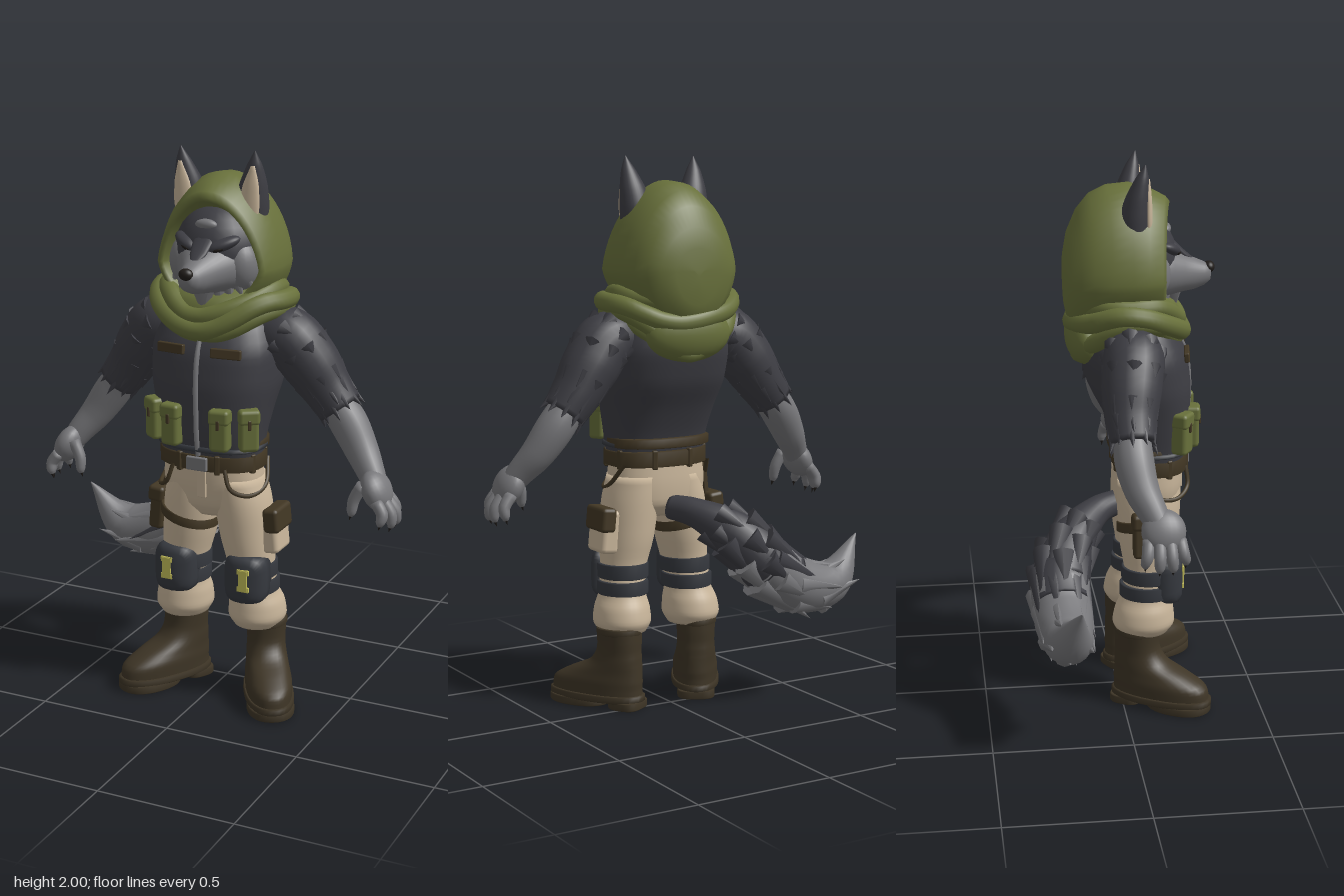
import * as THREE from 'three';
import { RoundedBoxGeometry } from 'three/addons/geometries/RoundedBoxGeometry.js';

const V = (x = 0, y = 0, z = 0) => new THREE.Vector3(x, y, z);
const { cos, sin, PI, sign, abs, max, min } = Math;
const curve = (pts, closed) => new THREE.CatmullRomCurve3(pts, closed);
const mat = (name, color) => Object.assign(new THREE.MeshStandardMaterial({ color }), { name });

export function createModel() {
  const olive = mat('olive cloth', 0x68703b), charcoal = mat('charcoal', 0x3d3d43), grey = mat('grey fur', 0x77777a);
  const beige = mat('beige cloth', 0xc8b59a), boot = mat('boot leather', 0x3e3526), brown = mat('brown strap', 0x423724);
  const navy = mat('navy pad', 0x36393f), yellow = mat('yellow mark', 0xc8c25c), black = mat('black', 0x211d1a);
  const root = new THREE.Group();
  let g = root;
  const add = (geo, m, name, pos = [0, 0, 0], rot = [0, 0, 0], scale = [1, 1, 1]) => {
    const o = new THREE.Mesh(geo, m);
    o.name = name;
    o.position.set(...pos); o.rotation.set(...rot); o.scale.set(...scale);
    g.add(o);
    return o;
  };
  const part = (name, fn) => {
    g = new THREE.Group(); g.name = name;
    root.add(g);
    fn(g);
  };
  const ball = (m, name, pos, r, rot) => add(new THREE.SphereGeometry(1, 24, 16), m, name, pos, rot, r);
  const box = (m, name, size, pos, rot) => add(new RoundedBoxGeometry(...size, 2, min(...size) * 0.25), m, name, pos, rot);

  // Skin a closed solid over loops of points, turned outward by its signed volume
  const loft = (loops, m, name) => {
    const n = loops[0].length, L = loops.length, e = (L - 1) * n, idx = [], pts = loops.flat();
    const mid = l => l.reduce((a, p) => a.add(p), V()).divideScalar(n);
    pts.push(mid(loops[0]), mid(loops[L - 1]));
    for (let i = 0; i < n; i++) {
      const j = (i + 1) % n;
      for (let k = 0; k < e; k += n) idx.push(k + i, k + j, k + i + n, k + j, k + j + n, k + i + n);
      idx.push(L * n, j, i, L * n + 1, e + i, e + j);
    }
    let vol = 0;
    for (let i = 0; i < idx.length; i += 3) vol += pts[idx[i]].dot(V().crossVectors(pts[idx[i + 1]], pts[idx[i + 2]]));
    if (vol < 0) idx.reverse();
    const geo = new THREE.BufferGeometry().setFromPoints(pts);
    geo.setIndex(idx);
    geo.computeVertexNormals();
    return add(geo, m, name);
  };
  const loop = (fn, n = 32) => Array.from({ length: n }, (_, i) => fn(i / n * PI * 2));
  const sp = (v, p) => sign(v) * abs(v) ** (2 / p);
  // Horizontal rings [y, cx, cz, rx, rz], eased between the given rows
  const rings = (rows, m, name, p = 2, tilt = 0, steps = 4) => {
    const c1 = curve(rows.map(r => V(r[1], r[0], r[2]))), c2 = curve(rows.map(r => V(r[3], r[4])));
    const N = (rows.length - 1) * steps;
    return loft(Array.from({ length: N + 1 }, (_, k) => {
      const a = c1.getPoint(k / N), b = c2.getPoint(k / N);
      return loop(t => V(a.x + b.x * sp(cos(t), p), a.y + tilt * b.x * cos(t), a.z + b.y * sp(sin(t), p)));
    }), m, name);
  };
  const band = (y0, y1, cx, cz, rx, rz, m, name, p, tilt) =>
    rings([[y0, 0.95], [y0 + 0.004, 1], [y1 - 0.004, 1], [y1, 0.95]].map(([y, k]) => [y, cx, cz, rx * k, rz * k]), m, name, p, tilt, 1);
  // Round limb along a path of [x, y, z, radius]
  const Z = V(0, 0, 1), TAIL = V(-0.5, 0.3, 0.8);
  const path = (rows, ref = Z) => {
    const c = curve(rows.map(r => V(r[0], r[1], r[2]))), w = curve(rows.map(r => V(r[3])));
    return t => {
      const d = c.getTangent(t), b = V().crossVectors(d, ref).normalize(), n = V().crossVectors(b, d);
      return { p: c.getPoint(t), d, r: max(0.001, w.getPoint(t).x), out: a => b.clone().multiplyScalar(cos(a)).addScaledVector(n, sin(a)) };
    };
  };
  const sweep = (at, m, name, t0 = 0, t1 = 1, seg = 24) => loft(Array.from({ length: seg + 1 }, (_, k) => {
    const f = at(t0 + (t1 - t0) * k / seg);
    return loop(a => f.p.clone().addScaledVector(f.out(a), f.r), 20);
  }), m, name);
  // Fur tufts: single locks, and rings of locks around a limb
  const tuft = (m, p, d, len, r) => add(new THREE.ConeGeometry(r, len, 8), m, 'furTuft', p.toArray())
    .quaternion.setFromUnitVectors(V(0, 1, 0), d.clone().normalize());
  const furRing = (at, t, n, len, flare, wide, top, under = top) => {
    const f = at(t);
    for (let i = 0; i < n; i++) {
      const out = f.out((i + t * 7) / n * PI * 2);
      tuft(out.y > -0.1 ? top : under, f.p.clone().addScaledVector(out, f.r * (1 - wide * 0.42)), f.d.clone().addScaledVector(out, flare), len * (1 + 0.25 * sin(i * 2.4)), f.r * wide);
    }
  };

  part('head', () => {
    ball(charcoal, 'skull', [0, 1.645, 0.055], [0.16, 0.175, 0.155]);
    const snout = [[0.1, 1.605, 0.145, 0.11], [0.15, 1.603, 0.128, 0.1], [0.19, 1.6, 0.102, 0.085], [0.23, 1.593, 0.075, 0.07], [0.27, 1.586, 0.053, 0.057], [0.305, 1.585, 0.041, 0.043], [0.328, 1.588, 0.027, 0.028]];
    loft(snout.map(([z, y, rx, ry]) => loop(a => V(rx * cos(a), y + ry * sin(a), z))), grey, 'muzzle');
    // dark strip down the bridge
    loft([[0.16, 1.745, 0.03], [0.2, 1.69, 0.038], [0.235, 1.658, 0.03], [0.268, 1.637, 0.013]]
      .map(([z, y, r]) => loop(a => V(r * cos(a), y + r * 0.45 * sin(a), z), 16)), charcoal, 'bridge');
    ball(black, 'nose', [0, 1.608, 0.325], [0.026, 0.021, 0.02]);
    ball(grey, 'foreheadPatch', [0, 1.75, 0.166], [0.042, 0.02, 0.022], [-0.6, 0, 0]);
    ball(black, 'mouth', [0, 1.558, 0.288], [0.036, 0.004, 0.028]);
    for (const s of [-1, 1]) {
      ball(grey, 'cheek', [s * 0.095, 1.61, 0.1], [0.07, 0.095, 0.075], [0, s * 0.5, 0]);
      ball(charcoal, 'eyeMask', [s * 0.07, 1.69, 0.175], [0.06, 0.022, 0.033], [0, s * 0.55, s * 0.35]);
      ball(black, 'eye', [s * 0.064, 1.677, 0.2], [0.024, 0.009, 0.013], [0, s * 0.5, s * 0.3]);
      for (let i = 0; i < 4; i++)
        tuft(grey, V(s * (0.135 - i * 0.03), 1.565 - i * 0.022, 0.12 + i * 0.013), V(s * (0.5 - i * 0.1), -1, 0.1), 0.1, 0.036);
      rings([[1.72, s * 0.113, 0.045, 0.058, 0.052], [1.8, s * 0.116, 0.045, 0.06, 0.055], [1.88, s * 0.124, 0.053, 0.05, 0.043], [1.95, s * 0.135, 0.067, 0.027, 0.024], [2, s * 0.141, 0.078, 0.002, 0.002]], charcoal, 'ear');
      rings([[1.76, s * 0.121, 0.088, 0.034, 0.016], [1.81, s * 0.124, 0.088, 0.038, 0.017], [1.88, s * 0.13, 0.088, 0.03, 0.014], [1.95, s * 0.138, 0.087, 0.008, 0.007]], beige, 'innerEar');
    }
    tuft(grey, V(0, 1.5, 0.19), V(0, -1, 0.1), 0.13, 0.06);
  });

  part('hood', () => {
    // [z, half width, top, bottom, pointedness]; the sides of the opening sit further back
    const rows = [[0.07, 0.165, 1.78, 1.48, 0.2], [0.13, 0.174, 1.81, 1.47, 0.2], [0.172, 0.184, 1.83, 1.455, 0.2], [0.183, 0.194, 1.845, 1.445, 0.2], [0.167, 0.207, 1.865, 1.43, 0.17], [0.11, 0.222, 1.895, 1.42, 0.12], [0.04, 0.228, 1.915, 1.41, 0.1], [-0.04, 0.224, 1.908, 1.4, 0.1], [-0.1, 0.208, 1.88, 1.4, 0.1], [-0.145, 0.183, 1.825, 1.4, 0.1], [-0.177, 0.145, 1.75, 1.42, 0.1], [-0.19, 0.09, 1.68, 1.48, 0], [-0.195, 0.02, 1.6, 1.54, 0]];
    loft(rows.map(([z, w, top, bot, k]) => loop(a => {
      const c = cos(a);
      return V(w * sin(a) * (1 - k * abs(c)), 1.6 + c * (c > 0 ? top - 1.6 : 1.6 - bot), z - max(0, z) * 0.2 * abs(sin(a)));
    }, 48)), olive, 'hoodShell');
    // scarf folds, hanging in a V at the front and drooping behind: [rx, rz, y, front drop, back drop, radius, phase]
    for (const [rx, rz, y, df, db, r, ph] of [[0.2, 0.165, 1.515, 0.08, 0.03, 0.034, 0], [0.238, 0.18, 1.49, 0.1, 0.07, 0.036, 0.12], [0.228, 0.172, 1.46, 0.075, 0.12, 0.032, -0.1], [0.2, 0.16, 1.45, 0.085, 0.14, 0.03, 0.05]]) {
      const pts = loop(a => {
        const c = cos(a + ph);
        return V(rx * sin(a), y - (c > 0 ? df * c ** 3 : db * c * c) + 0.005 * sin(a * 5 + ph * 30), 0.02 + (c > 0 ? rz + 0.025 : rz) * cos(a));
      }, 24);
      add(new THREE.TubeGeometry(curve(pts, true), 72, r, 12, true), olive, 'scarfFold');
    }
    rings([[1.39, 0, 0.035, 0.17, 0.165], [1.45, 0, 0.03, 0.23, 0.19], [1.5, 0, 0.025, 0.21, 0.17], [1.54, 0, 0, 0.17, 0.12]], olive, 'scarfBase');
    ball(olive, 'backDrape', [0, 1.375, -0.12], [0.17, 0.1, 0.07]);
  });

  part('vest', () => {
    const rows = [[0.92, 0.185, 0.235, 0], [1, 0.195, 0.25, -0.02], [1.1, 0.213, 0.256, -0.06], [1.2, 0.234, 0.258, -0.11], [1.3, 0.238, 0.245, -0.135], [1.4, 0.205, 0.2, -0.125], [1.46, 0.14, 0.14, -0.08]];
    rings(rows.map(([y, rx, f, b]) => [y, 0, (f + b) / 2, rx, (f - b) / 2]), charcoal, 'torso', 2.5);
    band(0.955, 0.975, 0, 0.115, 0.199, 0.138, navy, 'vestHem', 2.5);
    add(new THREE.TubeGeometry(curve(rows.slice(0, 6).map(r => V(0, r[0], r[2]))), 24, 0.01, 6), grey, 'zip');
    for (const s of [-1, 1]) {
      box(brown, 'chestTab', [0.11, 0.035, 0.018], [s * 0.105, 1.32, 0.234], [-0.12, s * 0.16, 0]);
      for (const [x, z, ry] of [[0.093, 0.252, 0.12], [0.18, 0.208, 0.6]]) {
        box(olive, 'pouch', [0.07, 0.14, 0.06], [s * x, 1.045, z], [0, s * ry, 0]);
        box(olive, 'pouchFlap', [0.076, 0.055, 0.068], [s * x, 1.1, z], [0, s * ry, 0]);
        box(brown, 'pouchTab', [0.012, 0.035, 0.07], [s * x, 1.075, z + 0.002], [0, s * ry, 0]);
      }
    }
  });

  part('belt', () => {
    band(0.885, 0.943, 0, 0.113, 0.195, 0.135, brown, 'beltStrap', 2.4);
    band(0.955, 0.992, 0, 0.095, 0.196, 0.132, brown, 'backStrap', 2.4);
    box(grey, 'buckle', [0.08, 0.05, 0.02], [0, 0.914, 0.248]);
    for (const a of loop(t => t + PI / 8, 8))
      box(brown, 'beltLoop', [0.02, 0.07, 0.02], [0.19 * sin(a), 0.913, 0.113 + 0.134 * cos(a)], [0, a, 0]);
    for (const s of [-1, 1]) {
      const cord = [V(s * 0.1, 0.9, 0.235), V(s * 0.125, 0.83, 0.238), V(s * 0.175, 0.8, 0.19), V(s * 0.198, 0.82, 0.1), V(s * 0.175, 0.9, 0.03)];
      add(new THREE.TubeGeometry(curve(cord), 32, 0.008, 8), brown, 'hipCord');
    }
  });

  part('trousers', () => {
    rings([[0.7, 0, 0.1, 0.1, 0.08], [0.75, 0, 0.1, 0.17, 0.115], [0.83, 0, 0.107, 0.186, 0.125], [0.9, 0, 0.112, 0.18, 0.125]], beige, 'hips', 2.3);
    box(beige, 'fly', [0.035, 0.1, 0.012], [0.01, 0.835, 0.232]);
    for (const s of [-1, 1]) {
      const X = x => s * x + 0.014;
      rings([[0.85, X(0.085), 0.105, 0.09, 0.115], [0.75, X(0.1), 0.103, 0.102, 0.115], [0.62, X(0.115), 0.1, 0.098, 0.105], [0.5, X(0.133), 0.1, 0.085, 0.09], [0.42, X(0.14), 0.09, 0.085, 0.093], [0.37, X(0.145), 0.083, 0.1, 0.107], [0.32, X(0.147), 0.08, 0.105, 0.114], [0.28, X(0.147), 0.078, 0.086, 0.092]], beige, 'leg');
      band(0.415, 0.467, X(0.137), 0.093, 0.093, 0.1, navy, 'kneeStrap');
      band(0.475, 0.53, X(0.132), 0.1, 0.094, 0.1, navy, 'kneeStrap');
      // domed knee pad
      loft([[0.15, 1], [0.19, 1], [0.212, 0.93], [0.222, 0.7], [0.225, 0.3]].map(([z, k]) => loop(a => {
        const x = 0.081 * k * sp(cos(a), 4);
        return V(X(0.14) + x, 0.48 + 0.09 * k * sp(sin(a), 4), z - x * x * 4);
      })), navy, 'kneePad');
      box(yellow, 'padMark', [0.034, 0.08, 0.008], [X(0.152), 0.487, 0.223]);
      for (const y of [0.455, 0.52]) box(yellow, 'padMark', [0.046, 0.02, 0.008], [X(0.152), y, 0.222]);
    }
    // thigh gear
    band(0.655, 0.695, -0.1, 0.1, 0.106, 0.116, brown, 'thighStrap', 2, -0.25);
    box(brown, 'holster', [0.055, 0.15, 0.12], [-0.218, 0.675, 0.09], [0, 0, -0.1]);
    box(brown, 'holsterFlap', [0.064, 0.06, 0.13], [-0.218, 0.735, 0.09], [0, 0, -0.1]);
    box(brown, 'holsterHanger', [0.02, 0.16, 0.04], [-0.193, 0.82, 0.09], [0, 0, -0.1]);
    box(beige, 'cargoPocket', [0.07, 0.16, 0.12], [0.228, 0.655, 0.09], [0, 0, 0.1]);
    box(brown, 'sidePouch', [0.06, 0.09, 0.135], [0.24, 0.7, 0.09], [0, 0, 0.1]);
  });

  for (const s of [-1, 1]) part(s > 0 ? 'leftBoot' : 'rightBoot', b => {
    b.position.set(s * 0.162 + 0.021, 0, 0.053);
    b.rotation.y = s * 0.52;
    rings([[0.04, 0, 0.1, 0.083, 0.185], [0.09, 0, 0.095, 0.084, 0.18], [0.13, 0, 0.062, 0.078, 0.145], [0.17, 0, 0.02, 0.073, 0.1], [0.22, 0, 0.005, 0.07, 0.082], [0.3, 0, 0.005, 0.074, 0.082]], boot, 'bootUpper', 2.3);
    band(0.025, 0.052, 0, 0.1, 0.09, 0.193, boot, 'welt', 2.3);
    band(0, 0.03, 0, 0.17, 0.086, 0.12, boot, 'sole', 2.3);
    band(0, 0.03, 0, -0.03, 0.07, 0.062, boot, 'heel', 3);
    band(0.275, 0.3, 0, 0.005, 0.077, 0.086, boot, 'bootCuff');
  });

  for (const s of [-1, 1]) part(s > 0 ? 'leftArm' : 'rightArm', () => {
    const P = rows => path(rows.map(([x, y, z, r]) => [s * x, y, z, r]));
    const upper = P([[0.17, 1.36, 0.03, 0.09], [0.255, 1.345, 0.025, 0.108], [0.325, 1.265, 0.01, 0.105], [0.383, 1.18, 0, 0.091], [0.44, 1.105, 0, 0.08]]);
    sweep(upper, charcoal, 'upperArm');
    for (const [t, n, l] of [[0.25, 8, 0.055], [0.42, 8, 0.05], [0.7, 9, 0.055], [0.85, 9, 0.07], [0.97, 10, 0.085]]) furRing(upper, t, n, l, 0.3, 0.32, charcoal);
    sweep(P([[0.41, 1.14, 0, 0.062], [0.47, 1.06, 0, 0.068], [0.53, 0.97, 0.02, 0.06], [0.575, 0.91, 0.05, 0.05], [0.61, 0.86, 0.075, 0.042]]), grey, 'forearm');
    ball(grey, 'palm', [s * 0.613, 0.855, 0.082], [0.048, 0.076, 0.076], [0, 0, s * 0.45]);
    const digits = [[0.63, 0.83, 0.03, 0.66, 0.745], [0.64, 0.83, 0.065, 0.68, 0.735], [0.64, 0.83, 0.1, 0.678, 0.735], [0.63, 0.83, 0.135, 0.655, 0.75], [0.575, 0.88, 0.12, 0.54, 0.765]];
    for (const [x, y, z, tx, ty] of digits) {
      const thumb = x < 0.6, zt = z + (z - 0.08) * 0.3;
      sweep(P([[x, y, z, 0.022], [(x + tx) / 2 + (thumb ? -0.012 : 0.015), (y + ty) / 2, (z + zt) / 2, 0.021], [tx, ty + 0.015, zt, 0.017], [tx - 0.003, ty, zt, 0.009]]), grey, thumb ? 'thumb' : 'finger', 0, 1, 10);
      tuft(black, V(s * (tx - 0.005), ty - 0.006, zt), V(-s * 0.3, -1, 0), 0.025, 0.008);
    }
  });

  part('tail', () => {
    const rows = [[0, 0.735, 0, 0.045], [-0.055, 0.72, -0.085, 0.054], [-0.15, 0.655, -0.18, 0.085], [-0.25, 0.548, -0.233, 0.106], [-0.385, 0.45, -0.236, 0.105], [-0.55, 0.44, -0.23, 0.082], [-0.69, 0.6, -0.2, 0.002]];
    const tail = path(rows, TAIL), saddle = path(rows.map(([x, y, z, r]) => [x + 0.006, y + 0.01, z, r - 0.003]), TAIL);
    sweep(tail, charcoal, 'tailBase', 0, 0.52);
    sweep(tail, grey, 'tailTip', 0.51, 1);
    sweep(saddle, charcoal, 'tailSaddle', 0.48, 0.63, 10);
    // broad overlapping locks, dark above and grey beneath towards the tip
    for (const [t, n, l] of [[0.34, 6, 0.15], [0.45, 6, 0.19]]) furRing(tail, t, n, l, 0.12, 0.45, charcoal);
    for (const [t, n, l] of [[0.54, 7, 0.2], [0.63, 8, 0.24]]) furRing(tail, t, n, l, 0.1, 0.45, charcoal, grey);
    for (const [t, n, l] of [[0.73, 6, 0.2], [0.82, 5, 0.16]]) furRing(tail, t, n, l, 0.1, 0.45, grey);
  });
  return root;
}
